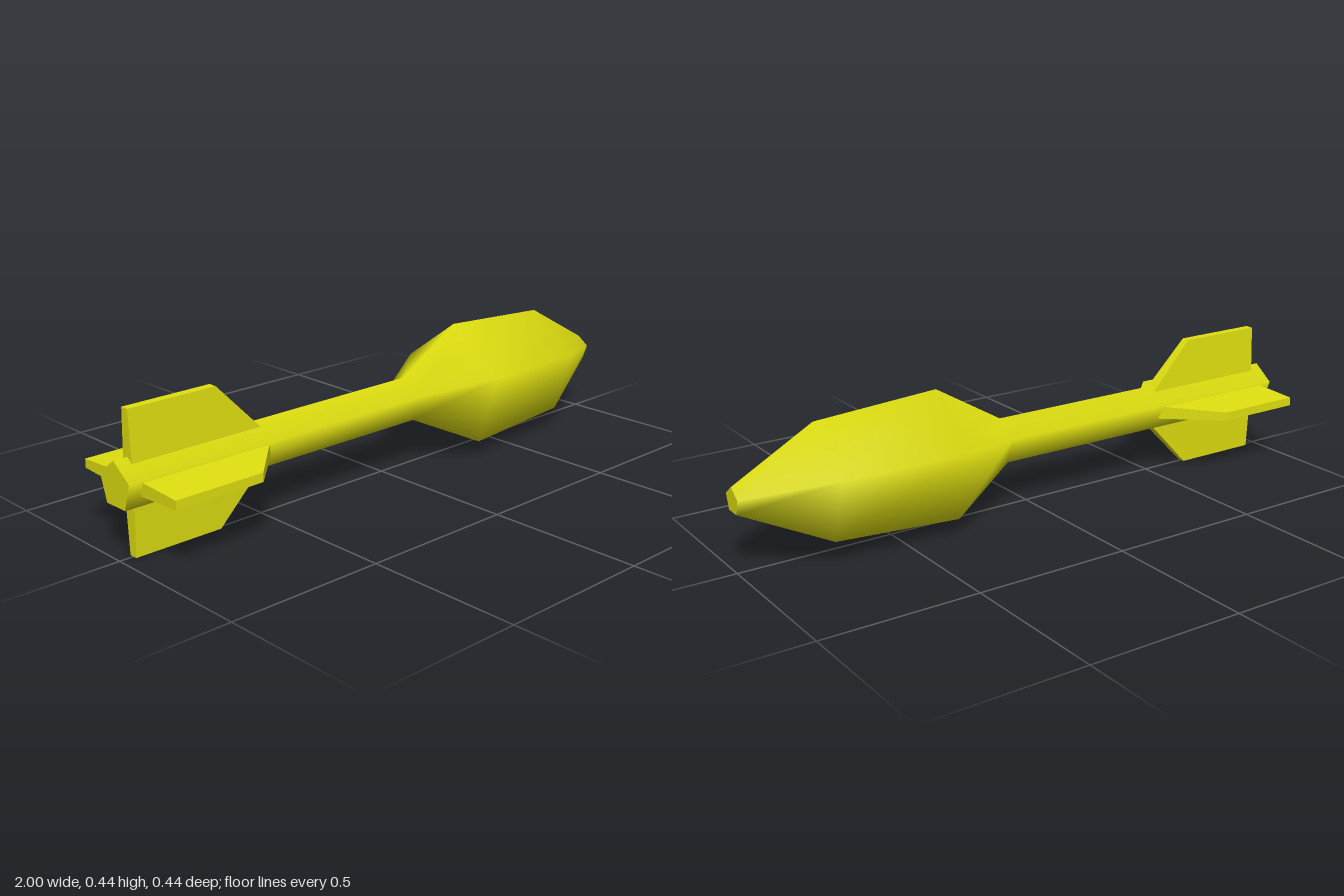
import * as THREE from 'three';

const AXIS_Y = 0.223; // height of the body axis

export function createModel() {
  const model = new THREE.Group();
  const yellow = new THREE.MeshStandardMaterial({ color: 0xe0e010 });
  yellow.name = 'yellow';

  const add = (geometry, name, parent = model) => {
    const mesh = new THREE.Mesh(geometry, yellow);
    mesh.name = name;
    parent.add(mesh);
    return mesh;
  };

  // Turns the lathe axis (y) to x, with a pentagon corner pointing up
  const layDown = new THREE.Matrix4().makeBasis(
    new THREE.Vector3(0, 0, 1), new THREE.Vector3(1, 0, 0), new THREE.Vector3(0, 1, 0)
  ).setPosition(0, AXIS_Y, 0);

  // Five-sided, smooth-shaded tube and warhead: [radius, position along x]
  const profile = [
    [0.074, -1], [0.074, 0.1], [0.21, 0.33], [0.185, 0.74], [0.042, 1],
  ].map(([r, x]) => new THREE.Vector2(r, x));
  add(new THREE.LatheGeometry(profile, 5).applyMatrix4(layDown), 'body');

  // Flat end caps
  for (const [name, radius, x, dir] of [['tailCap', 0.074, -1, -1], ['noseCap', 0.042, 1, 1]]) {
    const cap = new THREE.CircleGeometry(radius, 5, Math.PI / 2);
    cap.rotateY(dir * Math.PI / 2).translate(x, AXIS_Y, 0);
    add(cap, name);
  }

  // Tail fin: swept leading edge, thinner towards the tip
  const fin = new THREE.BoxGeometry(1, 1, 1);
  const p = fin.attributes.position;
  for (let i = 0; i < p.count; i++) {
    const tip = p.getY(i) > 0;
    const front = p.getX(i) > 0;
    p.setXYZ(i,
      front ? (tip ? -0.66 : -0.492) : -0.955,
      tip ? 0.218 : 0.045,
      Math.sign(p.getZ(i)) * (tip ? 0.014 : 0.022));
  }
  fin.computeVertexNormals();

  const fins = new THREE.Group();
  fins.name = 'tailFins';
  fins.position.y = 0.219;
  model.add(fins);
  ['topFin', 'frontFin', 'bottomFin', 'backFin'].forEach((name, i) => {
    add(fin, name, fins).rotation.x = i * Math.PI / 2;
  });

  return model;
}
